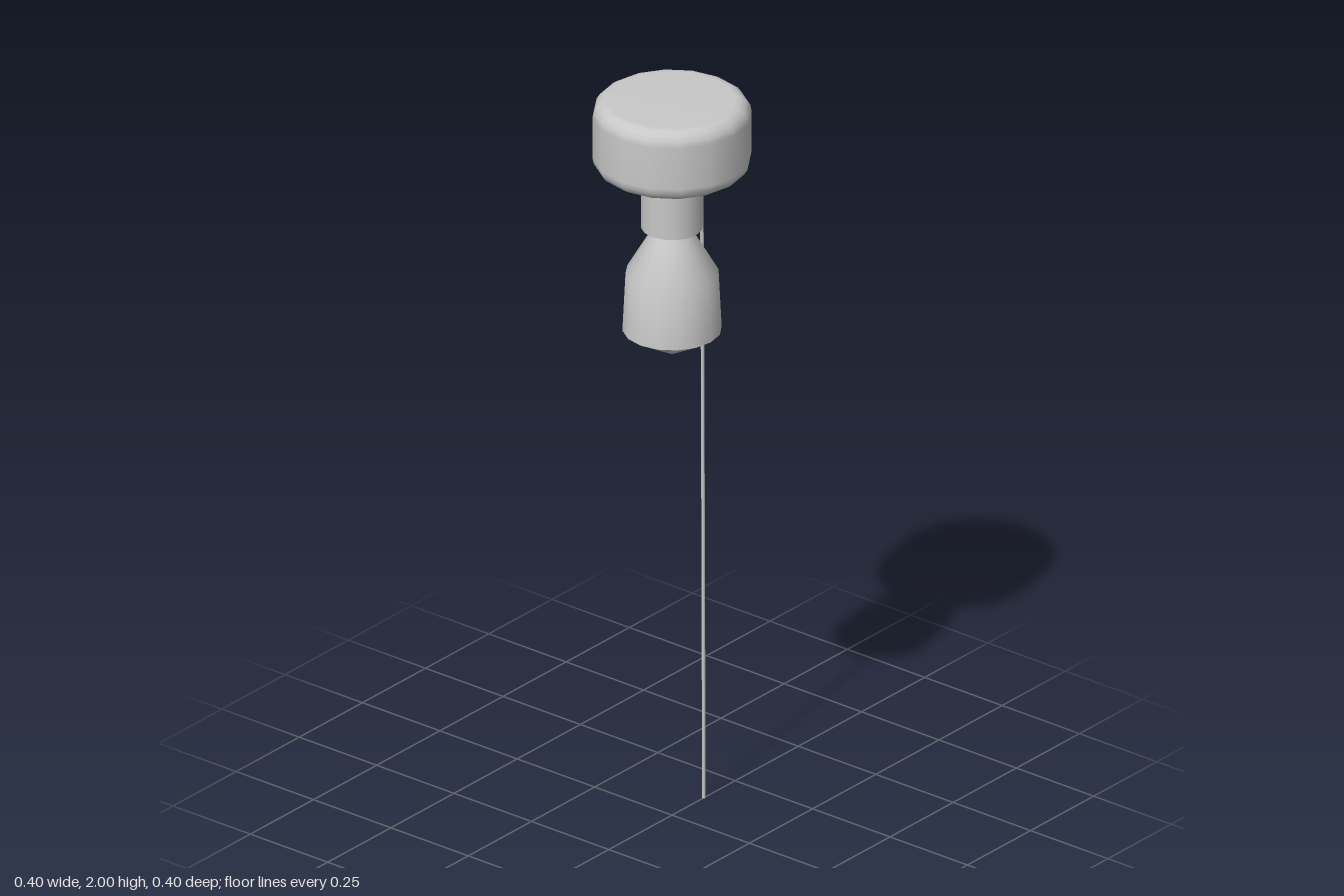
import * as THREE from 'three';

const SIDES = 16;

// Turned part from a bottom-to-top list of [radius, y] points
function turned(name, profile, material) {
  const points = profile.map(([r, y]) => new THREE.Vector2(r, y));
  const mesh = new THREE.Mesh(new THREE.LatheGeometry(points, SIDES), material);
  mesh.name = name;
  return mesh;
}

export function createModel() {
  const group = new THREE.Group();
  group.name = 'pullCordFixture';
  const grey = new THREE.MeshStandardMaterial({ color: 0xc8c8c8 });
  grey.name = 'light grey';

  // Round cap with softened rims
  const bottom = 1.805, top = 2, radius = 0.2, bevel = 0.04;
  const cap = [[0, bottom]];
  const arc = (y, start) => {
    for (let i = 0; i <= 4; i++) {
      const a = start + (i / 4) * Math.PI / 2;
      cap.push([radius - bevel + bevel * Math.cos(a), y + bevel * Math.sin(a)]);
    }
  };
  arc(bottom + bevel, -Math.PI / 2);
  arc(top - bevel, 0);
  cap.push([0, top]);
  group.add(turned('cap', cap, grey));

  // Neck
  const neck = new THREE.Mesh(new THREE.CylinderGeometry(0.078, 0.078, 0.17, SIDES), grey);
  neck.name = 'neck';
  neck.position.y = 1.73;
  group.add(neck);

  // Bell-shaped body and its pointed underside, split for a crisp edge
  group.add(turned('body', [[0.125, 1.36], [0.117, 1.52], [0.045, 1.645]], grey));
  group.add(turned('point', [[0, 1.288], [0.125, 1.36]], grey));

  // Long, slightly slanted pull cord
  const path = new THREE.CatmullRomCurve3([
    new THREE.Vector3(0.117, 1.762, 0),
    new THREE.Vector3(0.120, 1.4, 0),
    new THREE.Vector3(0.123, 0.8, 0),
    new THREE.Vector3(0.126, 0, 0),
  ]);
  const cord = new THREE.Mesh(new THREE.TubeGeometry(path, 12, 0.0045, 8), grey);
  cord.name = 'cord';
  group.add(cord);

  // Cord end caps
  for (const [x, y, turn] of [[0.117, 1.762, -1], [0.126, 0, 1]]) {
    const end = new THREE.Mesh(new THREE.CircleGeometry(0.0045, 8), grey);
    end.name = 'cordEnd';
    end.position.set(x, y, 0);
    end.rotation.x = turn * Math.PI / 2;
    group.add(end);
  }
  return group;
}
